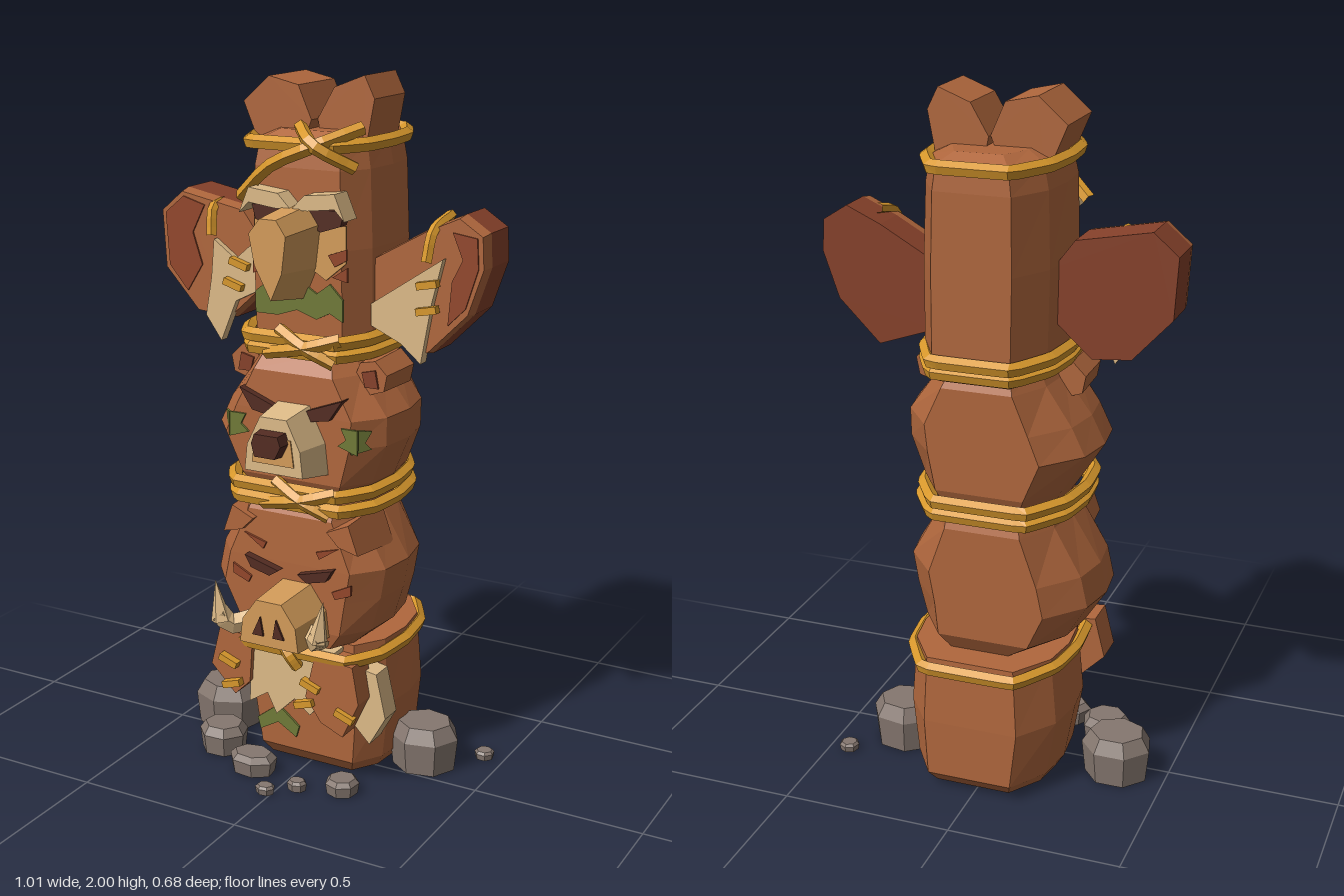
import * as THREE from 'three';

const mat = (name, color) => Object.assign(new THREE.MeshStandardMaterial({ color }), { name });
const M = {
  wood: mat('wood', 0xb0673d), red: mat('dark red wood', 0x86412a), brick: mat('brick paint', 0x93472b),
  cream: mat('cream', 0xdebb88), tan: mat('tan', 0xd49c5a), dark: mat('dark', 0x532c22),
  rope: mat('rope', 0xd8982c), green: mat('green paint', 0x707a38), stone: mat('stone', 0x85776f),
};

export function createModel() {
  const root = new THREE.Group();
  root.name = 'totemPole';

  const add = (name, geo, m, parent = root) => {
    const g = geo.index ? geo.toNonIndexed() : geo;
    g.computeVertexNormals();
    const mesh = new THREE.Mesh(g, m);
    mesh.name = name;
    parent.add(mesh);
    return mesh;
  };
  const group = (name) => {
    const g = new THREE.Group();
    g.name = name;
    root.add(g);
    return g;
  };

  // Polygon in x/y extruded from z0 to z1; the front face may be scaled about (cx, cy)
  const slab = (name, pts, z0, z1, m, parent, taper = 1, cx = 0, cy = 0) => {
    const shape = new THREE.Shape(pts.map(([x, y]) => new THREE.Vector2(x, y)));
    const geo = new THREE.ExtrudeGeometry(shape, { depth: z1 - z0, bevelEnabled: false });
    geo.translate(0, 0, z0);
    const p = geo.attributes.position;
    for (let i = 0; i < p.count; i++) {
      if (p.getZ(i) > (z0 + z1) / 2) {
        p.setX(i, cx + (p.getX(i) - cx) * taper);
        p.setY(i, cy + (p.getY(i) - cy) * taper);
      }
    }
    return add(name, geo, m, parent);
  };
  const plate = (name, pts, z, m, parent) => slab(name, pts, z, z + 0.007, m, parent);
  const flip = (pts, c) => pts.map(([x, y]) => [2 * c - x, y]);

  // Plan outline: flat front, rounded back (u across, v from front to back)
  const half = [[0.7, 0], [0.95, 0.2], [1, 0.47], [0.92, 0.74], [0.58, 1]];
  const plan = [...half, ...half.map(([u, v]) => [-u, v]).reverse()];
  const ring = (y, xl, xr, zf, zb) => plan.map(([u, v]) =>
    new THREE.Vector3((xl + xr) / 2 + u * (xr - xl) / 2, y, zf + (zb - zf) * v));

  // Carved log section lofted through plan rings
  const section = (name, rows, parent) => {
    const rings = rows.map((r) => ring(...r)), n = plan.length, pos = [], idx = [];
    rings.forEach((r) => r.forEach((p) => pos.push(p.x, p.y, p.z)));
    for (let k = 0; k < rings.length - 1; k++) {
      for (let i = 0; i < n; i++) {
        const a = k * n + i, b = k * n + (i + 1) % n;
        idx.push(a, b, b + n, a, b + n, a + n);
      }
    }
    const top = (rings.length - 1) * n;
    for (let i = 1; i < n - 1; i++) idx.push(0, i + 1, i, top, top + i, top + i + 1);
    const geo = new THREE.BufferGeometry();
    geo.setAttribute('position', new THREE.Float32BufferAttribute(pos, 3));
    geo.setIndex(idx);
    return add(name, geo, M.wood, parent);
  };

  const tube = (name, pts, r, m, parent, closed = false, segs = 8) => {
    const curve = new THREE.CatmullRomCurve3(pts.map((p) => p.isVector3 ? p : new THREE.Vector3(...p)),
      closed, 'catmullrom', closed ? 0.05 : 0.5);
    return add(name, new THREE.TubeGeometry(curve, segs, r, 5, closed), m, parent);
  };
  const stitch = (x, y, z, a) => {
    const s = add('stitch', new THREE.BoxGeometry(0.06, 0.02, 0.024), M.rope);
    s.position.set(x, y, z);
    s.rotation.z = a;
  };

  // Base log with hanging hides
  const base = group('base');
  section('baseLog', [[0.01, -0.18, 0.2, 0.08, -0.28], [0.05, -0.205, 0.225, 0.11, -0.315],
    [0.22, -0.235, 0.245, 0.115, -0.315], [0.42, -0.215, 0.23, 0.11, -0.305]], base);
  slab('creamHide', [[-0.14, 0.41], [0.13, 0.41], [0.12, 0.28], [0.05, 0.2], [0, 0.24], [-0.06, 0.18],
    [-0.09, 0.24], [-0.15, 0.2]], 0.1, 0.165, M.cream, base);
  slab('leftBrownHide', [[0.08, 0.4], [0.2, 0.39], [0.22, 0.28], [0.17, 0.17], [0.1, 0.2], [0.05, 0.27]],
    0.1, 0.19, M.wood, base);
  slab('rightBrownHide', [[-0.24, 0.42], [-0.13, 0.41], [-0.14, 0.27], [-0.19, 0.22], [-0.27, 0.3]],
    0.08, 0.18, M.wood, base);
  slab('sideHide', [[0.18, 0.36], [0.24, 0.35], [0.27, 0.22], [0.22, 0.13], [0.16, 0.19]], 0.05, 0.12, M.cream, base);
  plate('greenChevron', [[-0.15, 0.13], [-0.08, 0.185], [-0.01, 0.13], [-0.02, 0.095], [-0.08, 0.13], [-0.14, 0.095]],
    0.115, M.green, base);
  [[-0.2, 0.33], [-0.19, 0.26], [0.07, 0.31], [0.05, 0.25], [0.18, 0.24]].forEach(([x, y], i) =>
    stitch(x, y, 0.195, i % 2 ? 0.3 : -0.35));

  // Boar head
  const boar = group('boarHead');
  section('boarSkull', [[0.42, -0.14, 0.16, 0.165, -0.22], [0.47, -0.24, 0.22, 0.175, -0.25],
    [0.57, -0.305, 0.25, 0.175, -0.25], [0.66, -0.285, 0.265, 0.175, -0.25],
    [0.8, -0.2, 0.18, 0.17, -0.25], [0.86, -0.18, 0.17, 0.14, -0.23]], boar);
  slab('boarSnout', [[-0.09, 0.46], [0.12, 0.46], [0.11, 0.54], [0.06, 0.61], [-0.03, 0.61], [-0.08, 0.54]],
    0.16, 0.33, M.tan, boar, 0.88, 0.01, 0.53);
  const nostril = [[-0.035, 0.5], [0, 0.5], [-0.01, 0.555]];
  plate('rightNostril', nostril, 0.33, M.dark, boar);
  plate('leftNostril', flip(nostril, 0.015), 0.33, M.dark, boar);
  const boarEye = [[-0.14, 0.67], [-0.03, 0.64], [-0.06, 0.62], [-0.12, 0.635]];
  const boarMark = [[-0.19, 0.63], [-0.13, 0.6], [-0.14, 0.58], [-0.19, 0.6]];
  [['right', (p) => p, -1], ['left', (p) => flip(p, 0), 1]].forEach(([side, f, s]) => {
    slab(side + 'BoarEye', f(boarEye), 0.16, 0.2, M.dark, boar);
    plate(side + 'CheekMark', f(boarMark), 0.175, M.brick, boar);
    plate(side + 'BrowMark', f([[-0.15, 0.73], [-0.08, 0.71], [-0.09, 0.69]]), 0.175, M.brick, boar);
    slab(side + 'BoarEar', f([[-0.19, 0.82], [-0.1, 0.78], [-0.15, 0.73], [-0.23, 0.71]]),
      0.0, 0.19, M.wood, boar, 0.75, s * 0.17, 0.77);
    tube(side + 'TuskRoot', [[s * 0.09, 0.5, 0.24], [s * 0.14, 0.49, 0.28], [s * 0.165, 0.53, 0.305]], 0.03, M.cream, boar, false, 4);
    const tip = add(side + 'TuskTip', new THREE.ConeGeometry(0.03, 0.12, 5), M.cream, boar);
    tip.position.set(s * 0.163, 0.565, 0.305);
    tip.rotation.z = -s * 0.15;
  });

  // Bear head
  const bear = group('bearHead');
  section('bearSkull', [[0.85, -0.18, 0.18, 0.15, -0.22], [0.91, -0.22, 0.22, 0.18, -0.245],
    [1.02, -0.29, 0.265, 0.18, -0.245], [1.1, -0.25, 0.265, 0.18, -0.245],
    [1.21, -0.17, 0.18, 0.175, -0.245], [1.27, -0.14, 0.14, 0.13, -0.22]], bear);
  slab('bearMuzzle', [[-0.1, 0.94], [0.12, 0.94], [0.11, 1.03], [0.06, 1.13], [-0.04, 1.13], [-0.09, 1.03]],
    0.17, 0.29, M.cream, bear, 0.82, 0.01, 1.04);
  plate('bearMouth', [[-0.055, 0.985], [0.075, 0.985], [0.065, 1.06], [-0.045, 1.06]], 0.287, M.tan, bear);
  slab('bearNose', [[-0.03, 1.01], [0.04, 1.01], [0.06, 1.05], [0.05, 1.08], [-0.03, 1.08], [-0.04, 1.05]],
    0.28, 0.33, M.dark, bear, 0.9, 0.01, 1.045);
  [['right', (p) => p, -1], ['left', (p) => flip(p, 0.01), 1]].forEach(([side, f, s]) => {
    slab(side + 'BearEye', f([[-0.15, 1.16], [-0.03, 1.115], [-0.05, 1.09], [-0.11, 1.1]]), 0.16, 0.2, M.dark, bear);
    slab(side + 'BearEar', f([[-0.23, 1.17], [-0.24, 1.22], [-0.2, 1.26], [-0.15, 1.25], [-0.13, 1.2], [-0.17, 1.15]]),
      -0.05, 0.1, M.wood, bear, 0.9, s * 0.19, 1.2);
    plate(side + 'InnerEar', f([[-0.21, 1.18], [-0.2, 1.23], [-0.16, 1.22], [-0.17, 1.18]]), 0.1, M.red, bear);
    plate(side + 'CheekPaint', f([[-0.19, 1.08], [-0.14, 1.08], [-0.155, 1.05], [-0.13, 1.03], [-0.19, 1.01]]), 0.18, M.green, bear);
    // Paint continuing round the cheek edge
    const wrap = plate(side + 'CheekPaintWrap', flip([[0, 1.01], [0, 1.08], [0.06, 1.07], [0.04, 1.04], [0.06, 1.02]],
      0).map(([x, y]) => [-s * x, y]), 0, M.green, bear);
    wrap.position.set(s * 0.188, 0, 0.182);
    wrap.rotation.y = s * 0.9;
  });

  // Eagle body and face
  const eagle = group('eagle');
  section('eagleLog', [[1.24, -0.17, 0.17, 0.11, -0.27], [1.3, -0.19, 0.19, 0.13, -0.295],
    [1.55, -0.195, 0.19, 0.135, -0.295], [1.76, -0.19, 0.18, 0.13, -0.295], [1.83, -0.175, 0.165, 0.12, -0.29],
    [1.855, -0.12, 0.11, 0.08, -0.24]], eagle);
  slab('beak', [[-0.06, 1.62], [-0.02, 1.67], [0.04, 1.67], [0.075, 1.62], [0.06, 1.5], [0.02, 1.41], [-0.04, 1.52]],
    0.12, 0.31, M.tan, eagle, 0.82, 0.01, 1.57);
  plate('chestPaint', [[-0.13, 1.36], [-0.13, 1.42], [-0.08, 1.46], [-0.04, 1.43], [0.01, 1.46], [0.06, 1.43],
    [0.1, 1.46], [0.14, 1.42], [0.14, 1.36], [0.1, 1.38], [0.06, 1.36], [0, 1.38], [-0.06, 1.36]], 0.134, M.green, eagle);
  [['right', (p) => p], ['left', (p) => flip(p, 0.01)]].forEach(([side, f]) => {
    slab(side + 'Brow', f([[-0.15, 1.64], [-0.12, 1.71], [-0.03, 1.7], [0.01, 1.66], [-0.04, 1.66], [-0.12, 1.67]]),
      0.12, 0.19, M.cream, eagle);
    slab(side + 'EagleEye', f([[-0.13, 1.66], [-0.02, 1.66], [-0.02, 1.62], [-0.06, 1.6], [-0.12, 1.62]]), 0.12, 0.155, M.dark, eagle);
    plate(side + 'Cheek', f([[-0.13, 1.62], [-0.02, 1.61], [-0.02, 1.5], [-0.07, 1.47], [-0.13, 1.52]]), 0.136, M.tan, eagle);
    plate(side + 'CheekStripe', f([[-0.135, 1.56], [-0.08, 1.54], [-0.1, 1.51], [-0.135, 1.53]]), 0.143, M.brick, eagle);
    plate(side + 'LowerStripe', f([[-0.135, 1.51], [-0.09, 1.48], [-0.135, 1.47]]), 0.138, M.brick, eagle);
  });
  slab('rightTuft', [[-0.21, 1.92], [-0.13, 1.99], [-0.04, 1.97], [0, 1.88], [-0.04, 1.78], [-0.15, 1.78]], -0.14, 0.06, M.wood, eagle);
  slab('leftTuft', [[0.05, 1.965], [0.14, 2], [0.17, 1.94], [0.14, 1.78], [0.02, 1.78], [0, 1.88]], -0.155, 0.025, M.wood, eagle);

  // Wings with pale feathers
  const rightWing = [[-0.51, 1.6], [-0.44, 1.66], [-0.23, 1.62], [-0.17, 1.54], [-0.17, 1.4], [-0.28, 1.3], [-0.39, 1.31], [-0.5, 1.43]];
  const leftWing = [[0.17, 1.52], [0.33, 1.61], [0.43, 1.655], [0.5, 1.61], [0.505, 1.52], [0.46, 1.39], [0.34, 1.27], [0.17, 1.33]];
  slab('rightWing', rightWing, -0.13, -0.01, M.red, eagle);
  slab('rightWingFace', rightWing, -0.01, 0.03, M.wood, eagle, 0.96, -0.34, 1.47);
  slab('leftWing', leftWing, -0.115, -0.005, M.red, eagle);
  slab('leftWingFace', leftWing, -0.005, 0.035, M.wood, eagle, 0.96, 0.34, 1.47);
  slab('rightFeathers', [[-0.32, 1.53], [-0.25, 1.48], [-0.18, 1.54], [-0.17, 1.4], [-0.25, 1.36], [-0.3, 1.24], [-0.35, 1.31], [-0.33, 1.42]],
    0.02, 0.05, M.cream, eagle);
  slab('leftFeathers', [[0.18, 1.4], [0.3, 1.48], [0.39, 1.54], [0.36, 1.42], [0.33, 1.25], [0.27, 1.3], [0.18, 1.34]],
    0.02, 0.055, M.cream, eagle);
  plate('rightWingPatch', [[-0.49, 1.59], [-0.43, 1.64], [-0.36, 1.62], [-0.4, 1.54], [-0.37, 1.45], [-0.42, 1.37], [-0.48, 1.44]],
    0.028, M.brick, eagle);
  plate('leftWingPatch', [[0.41, 1.61], [0.48, 1.6], [0.485, 1.52], [0.45, 1.41], [0.4, 1.36], [0.41, 1.48], [0.44, 1.54]],
    0.033, M.brick, eagle);
  [[-0.23, 1.47], [-0.25, 1.41], [0.35, 1.47], [0.35, 1.4]].forEach(([x, y]) => stitch(x, y, 0.06, x < 0 ? -0.3 : 0.2));
  tube('rightWingTie', [[-0.33, 1.62, -0.07], [-0.33, 1.62, 0.03], [-0.32, 1.54, 0.06]], 0.015, M.rope, eagle);
  tube('leftWingTie', [[0.36, 1.64, -0.06], [0.355, 1.61, 0.04], [0.35, 1.53, 0.07]], 0.015, M.rope, eagle);

  // Rope bindings and their front crossings
  [[1.825, -0.19, 0.175, 0.15, -0.305], [1.305, -0.195, 0.19, 0.17, -0.305], [1.27, -0.19, 0.195, 0.165, -0.29],
    [0.885, -0.235, 0.22, 0.195, -0.265], [0.845, -0.23, 0.23, 0.195, -0.255], [0.395, -0.225, 0.24, 0.175, -0.32]]
    .forEach((r) => tube('rope', ring(...r), 0.02, M.rope, root, true, 60));
  const cross = (pts) => tube('ropeCrossing', pts, 0.019, M.rope);
  cross([[-0.19, 1.67, 0.11], [-0.06, 1.77, 0.17], [0.08, 1.83, 0.18], [0.165, 1.87, 0.08]]);
  cross([[0, 1.87, 0.12], [0.08, 1.83, 0.19], [0.165, 1.77, 0.12]]);
  [[1.29, 0.17], [0.865, 0.195]].forEach(([y, z]) => {
    cross([[-0.08, y - 0.03, z], [0.05, y, z + 0.02], [0.15, y + 0.03, z]]);
    cross([[-0.04, y + 0.04, z], [0.05, y, z + 0.02], [0.13, y - 0.04, z]]);
  });
  cross([[-0.03, 0.42, 0.18], [0, 0.39, 0.195], [0.02, 0.35, 0.18]]);

  // Rocks around the foot: x, z, width, height, depth
  [[-0.355, -0.05, 0.21, 0.14, 0.19], [0.3, -0.08, 0.21, 0.14, 0.19], [-0.27, 0.12, 0.15, 0.085, 0.14],
    [-0.12, 0.2, 0.15, 0.06, 0.11], [0.17, 0.19, 0.1, 0.045, 0.1], [0.05, 0.24, 0.06, 0.03, 0.05],
    [-0.02, 0.3, 0.06, 0.025, 0.05], [0.44, -0.2, 0.06, 0.025, 0.06]].forEach(([x, z, w, h, d], i) => {
    const cap = new THREE.CylinderGeometry(0.38, 0.5, 0.3, 7).translate(0, 0.85, 0);
    const low = new THREE.CylinderGeometry(0.5, 0.45, 0.7, 7).translate(0, 0.35, 0);
    [cap, low].forEach((g) => {
      const rock = add('rock', g.rotateY(i * 0.7).scale(w, h, d), M.stone);
      rock.position.set(x, 0, z);
    });
  });
  return root;
}
